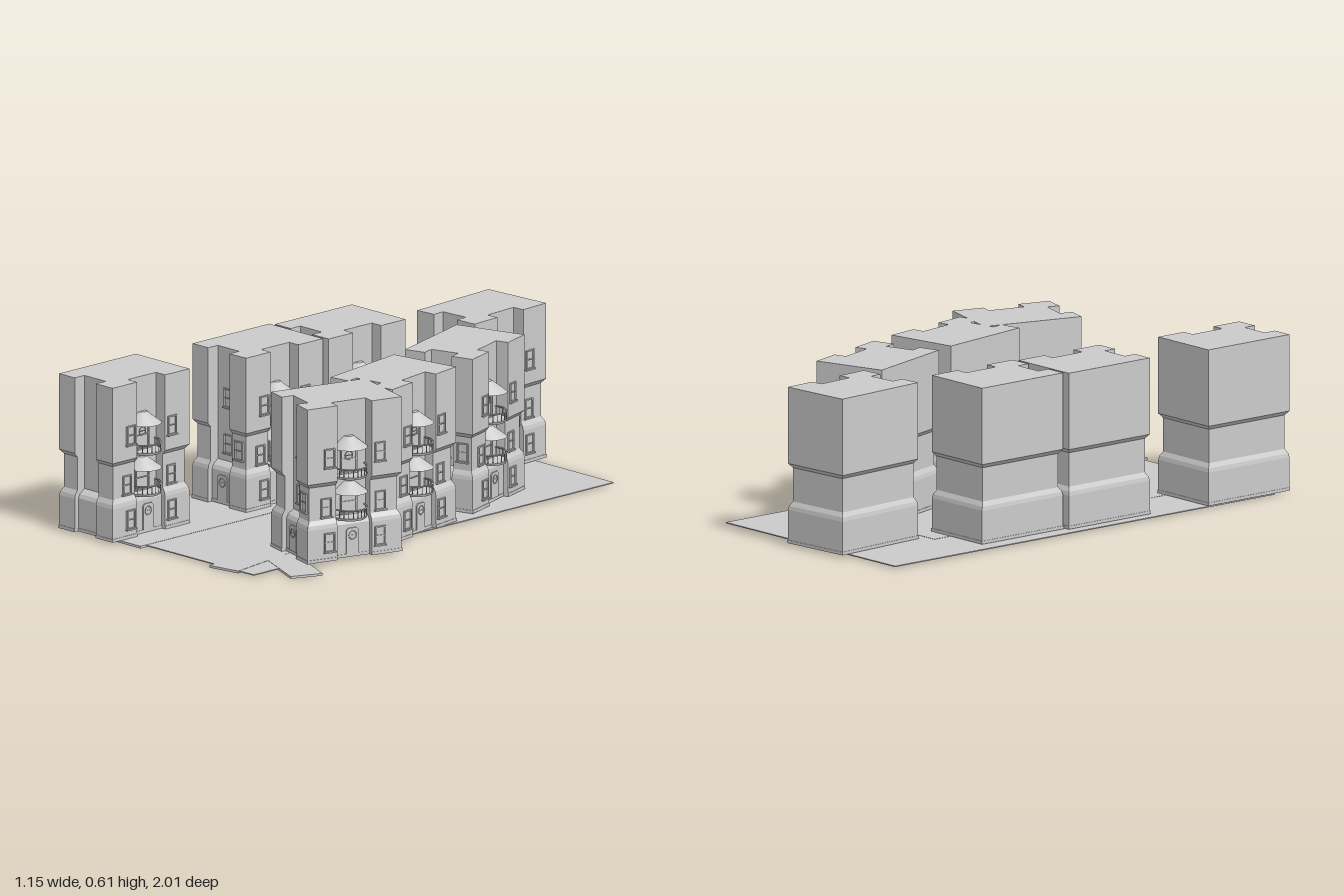
import * as THREE from 'three';

const grey = new THREE.MeshStandardMaterial({ color: 0xcccccc, side: THREE.DoubleSide });
const HX = 0.145, HZ = 0.2;

function add(parent, name, geometry, x = 0, y = 0, z = 0) {
  const mesh = new THREE.Mesh(geometry, grey);
  mesh.name = name;
  mesh.position.set(x, y, z);
  parent.add(mesh);
  return mesh;
}

// Floor outline with one recess in the front wall and one in the right wall
function outline(inset, depth) {
  const x = HX - inset, z = HZ - inset, fz = HZ - depth, sx = HX - depth;
  return [
    [-x, -z], [-x, z], [-0.06, z], [-0.06, fz], [0.055, fz], [0.055, z],
    [x, z], [x, 0.073], [sx, 0.073], [sx, -0.073], [x, -0.073], [x, -z],
  ];
}

// Walls: outlines stacked by height [y, inset, recess depth], capped by roof and floor
function bodyGeometry() {
  const levels = [
    [0.01, -0.002, 0.018], [0.022, -0.002, 0.018], [0.022, 0, 0.02], [0.138, 0, 0.02],
    [0.153, 0.003, 0.027], [0.17, 0.013, 0.05], [0.3, 0.013, 0.05], [0.316, 0, 0.05], [0.61, 0, 0.05],
  ];
  const loops = levels.map(([y, inset, depth]) => outline(inset, depth).map(([x, z]) => [x, y, z]));
  const pos = [];
  for (let l = 0; l < loops.length - 1; l++) {
    const lo = loops[l], hi = loops[l + 1];
    lo.forEach((a, i) => {
      const j = (i + 1) % lo.length;
      pos.push(...a, ...lo[j], ...hi[j], ...a, ...hi[j], ...hi[i]);
    });
  }
  const cap = (loop, flip) => {
    const flat = loop.map(([x, , z]) => new THREE.Vector2(x, -z));
    for (const [a, b, c] of THREE.ShapeUtils.triangulateShape(flat, [])) {
      pos.push(...loop[a], ...loop[flip ? c : b], ...loop[flip ? b : c]);
    }
  };
  cap(loops[loops.length - 1], false);
  cap(loops[0], true);
  const g = new THREE.BufferGeometry();
  g.setAttribute('position', new THREE.Float32BufferAttribute(pos, 3));
  g.computeVertexNormals();
  return g;
}

// Sash window standing on y, against a wall at z
function addWindow(parent, x, y, z, w = 0.048, h = 0.075) {
  const win = new THREE.Group();
  win.name = 'window';
  const frame = new THREE.Shape();
  frame.moveTo(-w / 2, 0).lineTo(w / 2, 0).lineTo(w / 2, h).lineTo(-w / 2, h).closePath();
  const hole = new THREE.Path(), e = 0.005;
  hole.moveTo(-w / 2 + e, e).lineTo(-w / 2 + e, h - e).lineTo(w / 2 - e, h - e).lineTo(w / 2 - e, e).closePath();
  frame.holes.push(hole);
  add(win, 'windowFrame', new THREE.ExtrudeGeometry(frame, { depth: 0.006, bevelEnabled: false }));
  add(win, 'sashBar', new THREE.BoxGeometry(w - e, 0.004, 0.004), 0, h * 0.5, 0.002);
  add(win, 'sill', new THREE.BoxGeometry(w + 0.006, 0.005, 0.012), 0, 0, 0.005);
  win.position.set(x, y, z);
  parent.add(win);
}

// Door with clipped top corners and a round light
function addDoor(parent, x, y, z, h = 0.1) {
  const w = 0.026, c = 0.008;
  const s = new THREE.Shape();
  s.moveTo(-w, 0).lineTo(w, 0).lineTo(w, h - c).lineTo(w - c, h).lineTo(c - w, h).lineTo(-w, h - c).closePath();
  add(parent, 'door', new THREE.ExtrudeGeometry(s, { depth: 0.005, bevelEnabled: false }), x, y, z);
  addRing(parent, x, y + h * 0.72, z + 0.006);
}

function addRing(parent, x, y, z) {
  add(parent, 'roundLight', new THREE.TorusGeometry(0.016, 0.002, 6, 20), x, y, z);
  add(parent, 'roundLightBar', new THREE.BoxGeometry(0.03, 0.003, 0.003), x, y, z);
}

// Half-round balcony with a railing and a half-cone awning above
function addBalcony(parent, y, z, awningY) {
  const R = 0.07, half = [-Math.PI / 2, Math.PI];
  const b = new THREE.Group();
  b.name = 'balcony';
  add(b, 'balconySlab', new THREE.CylinderGeometry(R, R * 0.94, 0.01, 20, 1, false, ...half), 0, 0.005);
  const rail = add(b, 'handrail', new THREE.TorusGeometry(R - 0.003, 0.003, 6, 20, Math.PI), 0, 0.04);
  rail.rotation.x = Math.PI / 2;
  for (let i = 0; i <= 12; i++) {
    const a = (i / 12) * Math.PI;
    add(b, 'baluster', new THREE.CylinderGeometry(0.0016, 0.0016, 0.032, 5),
      Math.cos(a) * (R - 0.003), 0.024, Math.sin(a) * (R - 0.003));
  }
  add(b, 'awning', new THREE.CylinderGeometry(0.018, R, 0.042, 20, 1, false, ...half), 0, awningY - y + 0.021);
  b.position.set(0, y, z);
  b.scale.z = 1.13;
  parent.add(b);
}

function createHouse(body, hasFrontOpenings) {
  const house = new THREE.Group();
  house.name = 'house';
  add(house, 'walls', body);

  if (hasFrontOpenings) {
    const front = new THREE.Group();
    front.name = 'frontOpenings';
    addDoor(front, 0, 0.022, HZ - 0.02);
    addWindow(front, 0, 0.2, HZ - 0.05);
    addWindow(front, 0, 0.378, HZ - 0.05);
    addWindow(front, 0.095, 0.2, HZ - 0.013);
    house.add(front);
  }

  // Right wall, built facing +z and turned to +x
  const side = new THREE.Group();
  side.name = 'balconySide';
  side.rotation.y = Math.PI / 2;
  addDoor(side, 0, 0.022, HX - 0.02);
  addBalcony(side, 0.158, HX - 0.05, 0.258);
  addBalcony(side, 0.318, HX - 0.05, 0.432);
  addWindow(side, 0, 0.172, HX - 0.05, 0.07, 0.09);
  addWindow(side, 0, 0.33, HX - 0.05, 0.07, 0.105);
  addRing(side, 0, 0.397, HX - 0.046);
  for (const s of [-1, 1]) {
    addWindow(side, s * 0.107, 0.045, HX, 0.045);
    addWindow(side, s * 0.115, 0.178, HX - 0.013, 0.045);
    addWindow(side, s * 0.107, 0.372, HX, 0.045);
  }
  house.add(side);
  return house;
}

export function createModel() {
  const model = new THREE.Group();
  model.name = 'street';

  // Ground and paving
  add(model, 'ground', new THREE.BoxGeometry(0.975, 0.004, 1.875), -0.0875, 0.006, -0.0125);
  add(model, 'leftPavement', new THREE.BoxGeometry(0.15, 0.009, 1.5), -0.255, 0.0045, 0.205);
  const strip = (name, w, l, x, z, turn) => {
    add(model, name, new THREE.BoxGeometry(w, 0.009, l), x, 0.0045, z).rotation.y = turn;
  };
  strip('rightPavement', 0.135, 0.8, 0.193, 0.55, 0.165);
  strip('cornerPavement', 0.3, 0.128, 0.405, 0.727, -0.41);

  // Houses: x, z, turn
  const body = bodyGeometry();
  const plots = [
    [-0.4325, 0.797, 0], [-0.39, 0.143, 0], [-0.37, -0.268, 0], [-0.155, -0.797, 0.072],
    [0.159, -0.406, 0.298], [0.277, 0.08, 0.165], [0.354, 0.45, -0.276],
  ];
  plots.forEach(([x, z, turn], i) => {
    const house = createHouse(body, i > 0);
    house.position.set(x, 0, z);
    house.rotation.y = turn;
    model.add(house);
  });
  return model;
}
